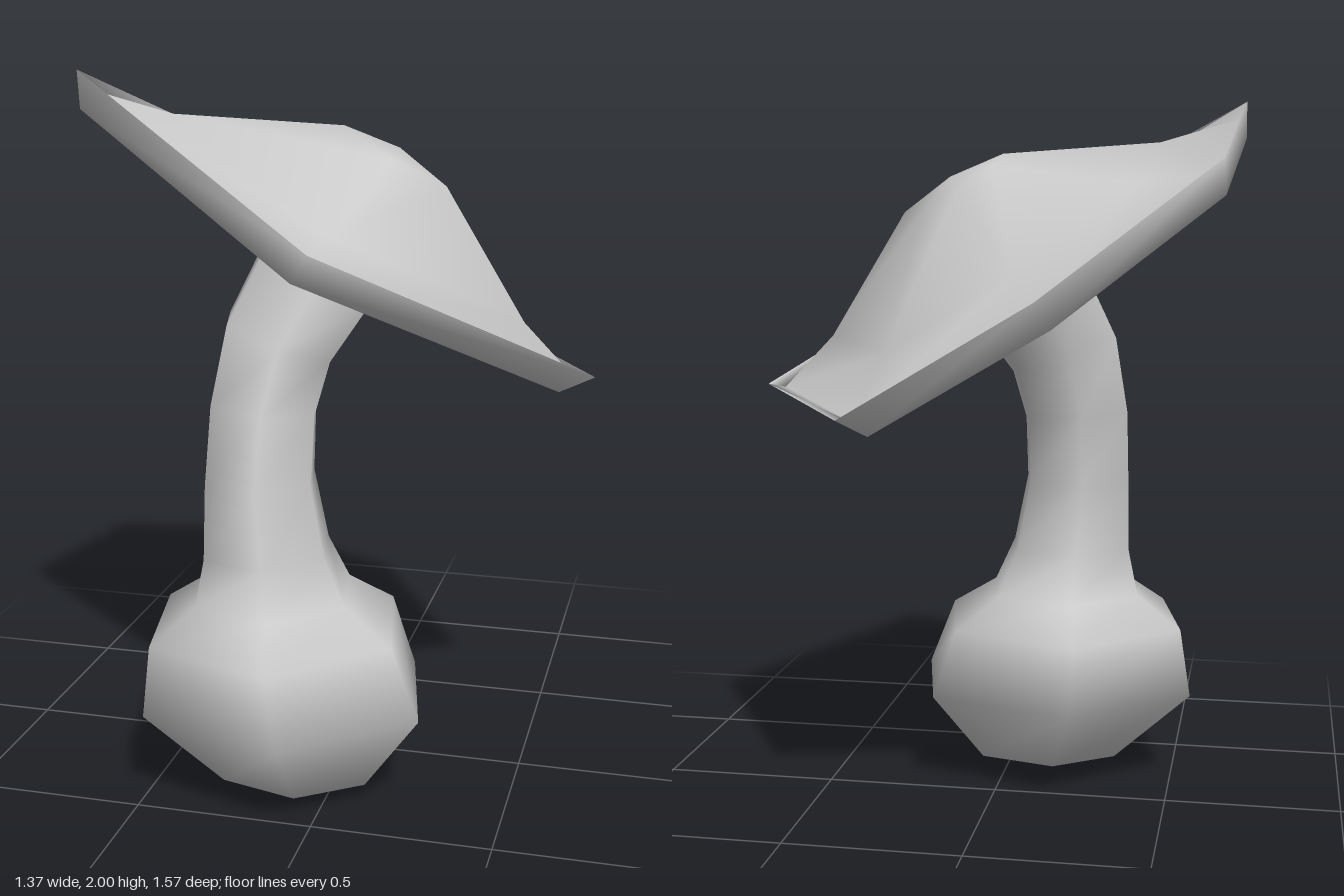
import * as THREE from 'three';
import { mergeVertices } from 'three/addons/utils/BufferGeometryUtils.js';

const V = (x, y, z) => new THREE.Vector3(x, y, z);
const material = new THREE.MeshStandardMaterial({ color: 0xcccccc });

// Smooth skin over a stack of rings, bottom to top; a ring of one point closes an end.
function loft(name, rings) {
  const pos = [];
  const tri = (...pts) => pts.forEach((p) => pos.push(p.x, p.y, p.z));
  for (let k = 0; k < rings.length - 1; k++) {
    const lo = rings[k], up = rings[k + 1];
    const n = Math.max(lo.length, up.length);
    for (let i = 0; i < n; i++) {
      const l0 = lo[i % lo.length], l1 = lo[(i + 1) % lo.length];
      const u0 = up[i % up.length], u1 = up[(i + 1) % up.length];
      if (lo.length > 1) tri(l0, u0, l1);
      if (up.length > 1) tri(u0, u1, l1);
    }
  }
  const soup = new THREE.BufferGeometry();
  soup.setAttribute('position', new THREE.Float32BufferAttribute(pos, 3));
  const geo = mergeVertices(soup);
  geo.computeVertexNormals();
  const mesh = new THREE.Mesh(geo, material);
  mesh.name = name;
  return mesh;
}

// Six-sided ring of given half width and half depth; tilt lowers it towards +x.
function ring([cx, y, cz, halfX, halfZ, tilt = 0]) {
  return Array.from({ length: 6 }, (_, i) => {
    const a = (i / 6 + 0.05) * Math.PI * 2;
    const dx = (halfX / 0.95) * Math.cos(a);
    return V(cx + dx, y - tilt * dx, cz + (halfZ / 0.98) * Math.sin(a));
  });
}

export function createModel() {
  const model = new THREE.Group();
  model.name = 'mushroom';

  // Bulbous foot flowing into the leaning stem
  model.add(loft('bulbAndStem', [
    [V(-0.1, 0, 0.27)],
    ...[
      [-0.11, 0.05, 0.27, 0.22, 0.18],
      [-0.145, 0.28, 0.245, 0.415, 0.395],
      [-0.17, 0.48, 0.235, 0.36, 0.385],
      [-0.175, 0.57, 0.23, 0.225, 0.25],
      [-0.19, 0.7, 0.24, 0.18, 0.2],
      [-0.21, 0.9, 0.23, 0.157, 0.17],
      [-0.21, 1.1, 0.185, 0.155, 0.15, 0.1],
      [-0.18, 1.28, 0.13, 0.155, 0.14, 0.35],
      [-0.08, 1.48, 0.03, 0.155, 0.15, 0.6],
    ].map(ring),
  ]));

  // Tilted six-cornered cap: each ring is the rim scaled to its centre,
  // lifted along the axis and slid within the plane of the rim
  const rim = [
    V(0.08, 1.62, 0.78), V(-0.685, 2.0, 0.27), V(-0.65, 1.82, -0.43),
    V(-0.23, 1.48, -0.79), V(0.28, 1.18, -0.68), V(0.68, 1.19, 0.03),
  ];
  const centre = V(-0.09, 1.55, -0.14);
  const axis = V(0.6, 1, -0.2).normalize();
  const drift = V(0.06, -0.01, 0.14);
  const capRing = (scale, lift, slide = 0) => (scale ? rim : [centre]).map((p) =>
    centre.clone().lerp(p, scale).addScaledVector(axis, lift).addScaledVector(drift, slide));
  model.add(loft('cap', [
    capRing(0, -0.12),          // underside
    capRing(0.93, -0.085),      // lower rim
    capRing(1, 0),              // outer edge
    capRing(0.95, -0.03),       // inside of the lip
    capRing(0.68, 0.04, 0.5),   // foot of the dome
    capRing(0.2, 0.26, 1),      // shoulder
    capRing(0, 0.29, 1),        // crown
  ]));

  return model;
}
